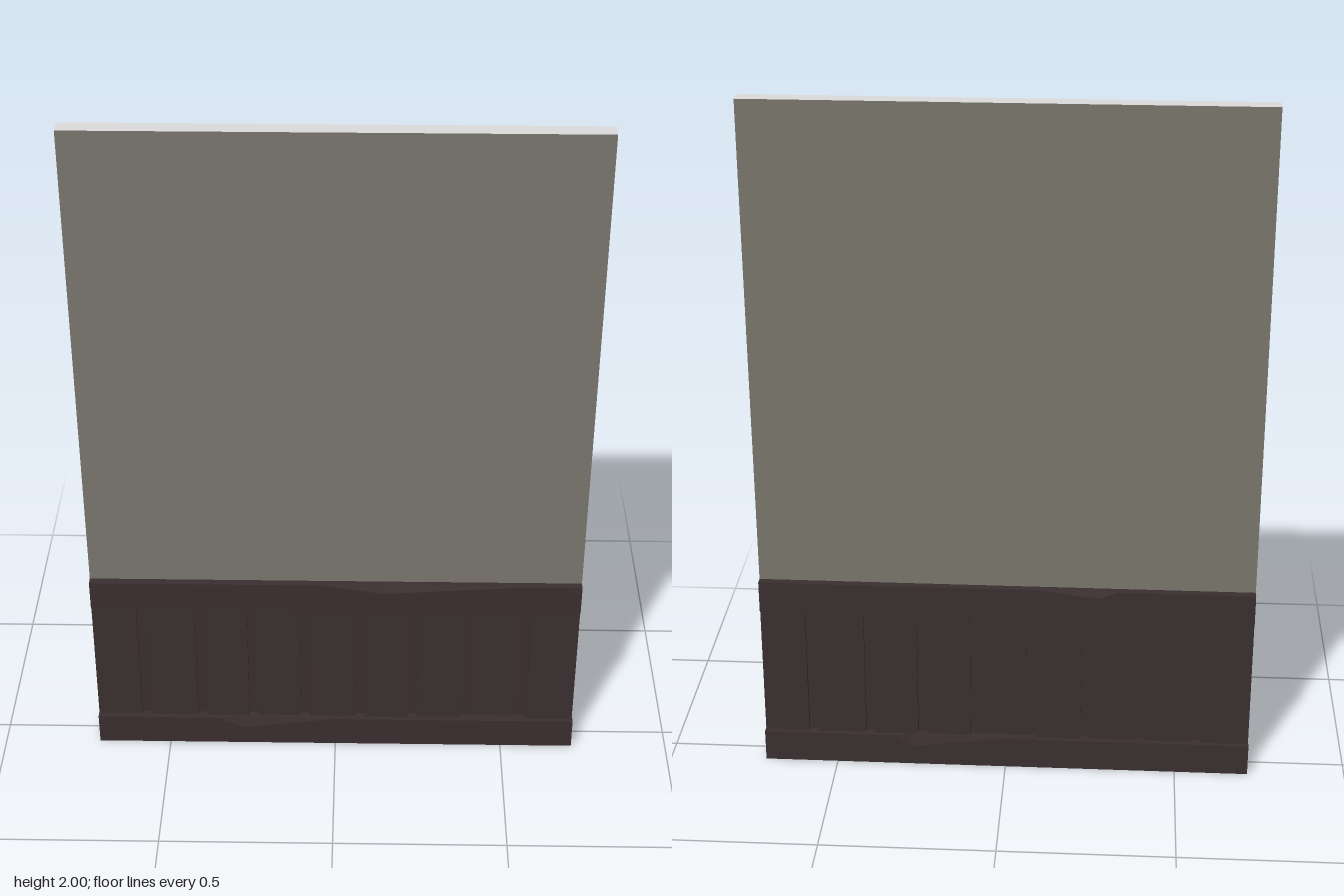
import * as THREE from 'three';

const W = 1.43; // full width

// Beam along x, front-top edge broken away by a chip that peaks at chip.peak
function chippedBeam(y0, y1, zIn, zOut, chip) {
  const stations = [[-W / 2, 0], [chip.from, 0], [chip.peak, 1], [chip.to, 0], [W / 2, 0]];
  const rings = stations.map(([x, k]) => [
    [x, y0, zIn], [x, y0, zOut],
    [x, y1 - chip.dy * k, zOut], [x, y1, zOut - chip.dz * k],
    [x, y1, zIn],
  ]);
  const pos = [];
  const tri = (a, b, c) => pos.push(...a, ...b, ...c);
  const n = 5;
  for (let s = 0; s < rings.length - 1; s++) {
    for (let i = 0; i < n; i++) {
      const j = (i + 1) % n;
      const a = rings[s][i], b = rings[s][j], c = rings[s + 1][j], d = rings[s + 1][i];
      tri(a, d, c);
      tri(a, c, b);
    }
  }
  const first = rings[0], last = rings[rings.length - 1];
  for (let i = 1; i < n - 1; i++) {
    tri(first[0], first[i], first[i + 1]);
    tri(last[0], last[i + 1], last[i]);
  }
  const g = new THREE.BufferGeometry();
  g.setAttribute('position', new THREE.Float32BufferAttribute(pos, 3));
  g.computeVertexNormals();
  return g;
}

// Upright board whose face leans slightly outward towards the floor
function plankGeometry(width, zTop, zBottom) {
  const y0 = 0.09, y1 = 0.495, back = 0.02;
  const s = new THREE.Shape([
    new THREE.Vector2(-back, y0), new THREE.Vector2(-back, y1),
    new THREE.Vector2(-zTop, y1), new THREE.Vector2(-zBottom, y0),
  ]);
  const g = new THREE.ExtrudeGeometry(s, { depth: width, bevelEnabled: false });
  g.translate(0, 0, -width / 2);
  g.rotateY(Math.PI / 2); // depth to x, profile to z
  return g;
}

export function createModel() {
  const model = new THREE.Group();
  const plaster = new THREE.MeshStandardMaterial({ color: 0x7a776d });
  plaster.name = 'greyPlaster';
  const edge = new THREE.MeshStandardMaterial({ color: 0xdcdcdc });
  edge.name = 'paleEdge';
  const wood = new THREE.MeshStandardMaterial({ color: 0x3a2f30 });
  wood.name = 'darkWood';

  const add = (parent, name, geometry, material) => {
    const m = new THREE.Mesh(geometry, material);
    m.name = name;
    parent.add(m);
    return m;
  };

  // Wall slab: plaster on both faces, pale cut edges
  add(model, 'wallPanel', new THREE.BoxGeometry(W, 1.45, 0.05),
    [edge, edge, edge, edge, plaster, plaster]).position.y = 1.275;

  // Solid core behind the boards
  add(model, 'wainscotCore', new THREE.BoxGeometry(W, 0.54, 0.076), wood).position.y = 0.28;

  // One dressed side of the wainscot: base, top rail and nine boards
  const gaps = [-0.57, -0.4, -0.245, -0.09, 0.075, 0.235, 0.392, 0.56];
  const edges = [-W / 2 - 0.013, ...gaps, W / 2 + 0.008];
  function wainscotSide(name, railChip, baseChip, sunkenBoard) {
    const side = new THREE.Group();
    side.name = name;
    add(side, 'baseboard', chippedBeam(0, 0.095, 0, 0.067, baseChip), wood);
    add(side, 'topRail', chippedBeam(0.49, 0.583, 0.025, 0.048, railChip), wood);
    for (let i = 0; i < edges.length - 1; i++) {
      const a = edges[i] + 0.014, b = edges[i + 1] - 0.014;
      const sunk = i === sunkenBoard;
      const lean = (i % 3) * 0.002;
      const g = plankGeometry(b - a, sunk ? 0.039 : 0.046, sunk ? 0.041 : 0.05 + lean);
      add(side, 'board', g, wood).position.x = (a + b) / 2;
    }
    model.add(side);
    return side;
  }

  wainscotSide('frontWainscot',
    { from: -0.04, peak: 0.14, to: 0.53, dy: 0.028, dz: 0.02 },
    { from: -0.35, peak: -0.28, to: 0.0, dy: 0.035, dz: 0.012 }, 7);
  const back = wainscotSide('backWainscot',
    { from: 0.1, peak: 0.27, to: 0.32, dy: 0.022, dz: 0.02 },
    { from: -0.32, peak: -0.28, to: 0.0, dy: 0.035, dz: 0.012 }, 4);
  back.rotation.y = Math.PI;

  return model;
}
